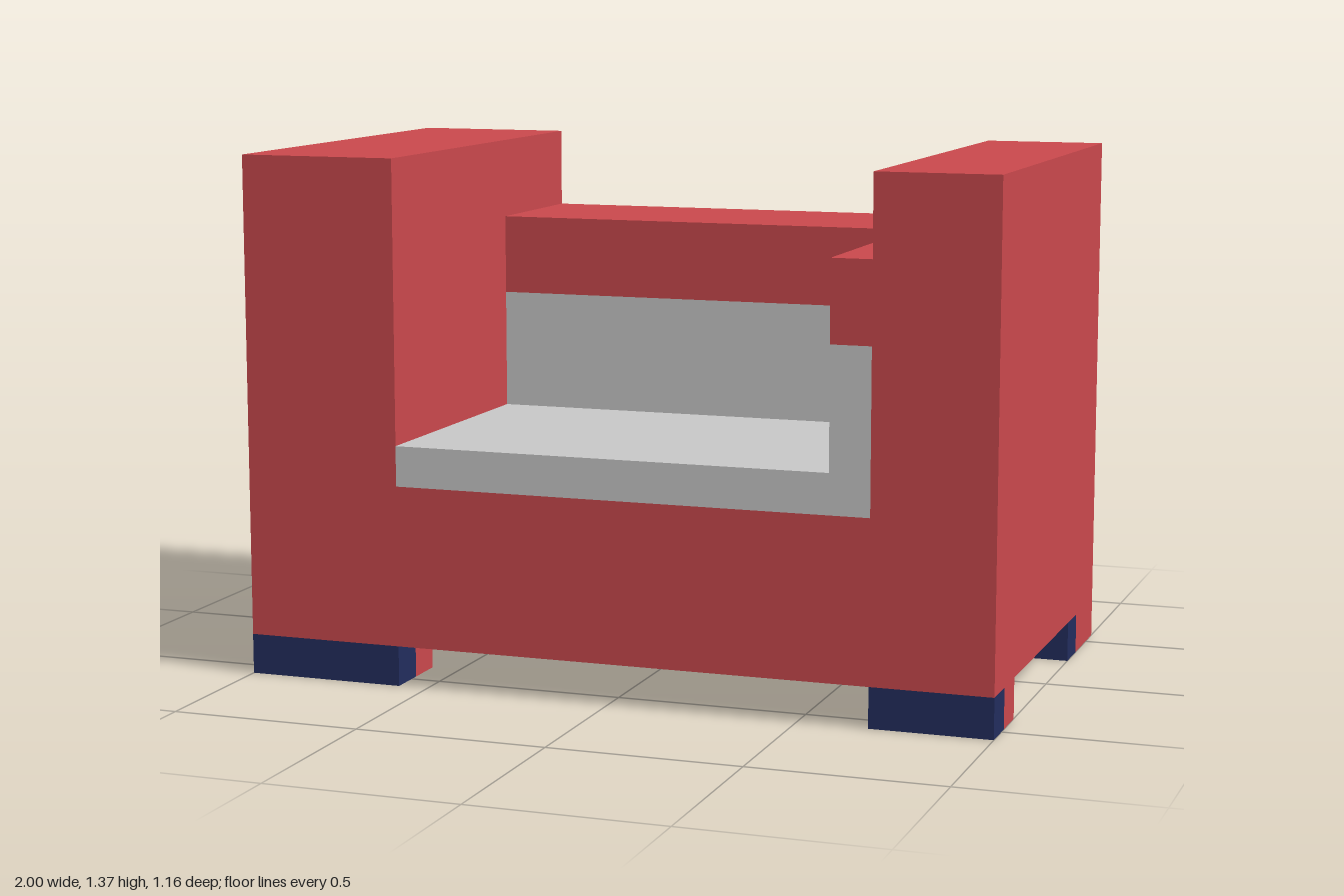
import * as THREE from 'three';

// The chair sits on a cell grid: 19 wide, 13 high, 11 deep
const U = 2 / 19;

export function createModel() {
  const model = new THREE.Group();
  model.name = 'armchair';

  const material = (name, color) => {
    const m = new THREE.MeshStandardMaterial({ color });
    m.name = name;
    return m;
  };
  const red = material('red upholstery', 0xc8484c);
  const grey = material('grey cushion', 0xc6c6c6);
  const navy = material('navy feet', 0x222c5c);

  // Box between two grid corners (x from the right arm, y up, z from the back)
  const block = (name, mat, [x0, x1], [y0, y1], [z0, z1]) => {
    const geo = new THREE.BoxGeometry((x1 - x0) * U, (y1 - y0) * U, (z1 - z0) * U);
    const mesh = new THREE.Mesh(geo, mat);
    mesh.name = name;
    mesh.position.set(((x0 + x1) / 2 - 9.5) * U, ((y0 + y1) / 2) * U, ((z0 + z1) / 2 - 5.5) * U);
    model.add(mesh);
  };

  // Arms and the base between them
  const rightArm = [0, 4], leftArm = [16, 19], between = [4, 16];
  block('rightArm', red, rightArm, [1, 13], [0, 11]);
  block('leftArm', red, leftArm, [1, 13], [0, 11]);
  block('base', red, between, [1, 5], [0, 11]);

  // Seat, backrest and the inner ledge of the left arm
  block('seat', grey, [4, 15], [5, 6], [4, 11]);
  block('backPanel', grey, between, [5, 9], [0, 4]);
  block('backTop', red, between, [9, 11], [0, 4]);
  block('ledgePanel', grey, [15, 16], [5, 9], [4, 11]);
  block('ledgeTop', red, [15, 16], [9, 11], [4, 11]);

  // Feet: a navy front strip with red behind it
  for (const [side, x] of [['Right', rightArm], ['Left', leftArm]]) {
    block(`front${side}FootTip`, navy, x, [0, 1], [10, 11]);
    block(`front${side}Foot`, red, x, [0, 1], [9, 10]);
    block(`rear${side}FootTip`, navy, x, [0, 1], [2, 3]);
    block(`rear${side}Foot`, red, x, [0, 1], [0, 2]);
  }
  return model;
}
